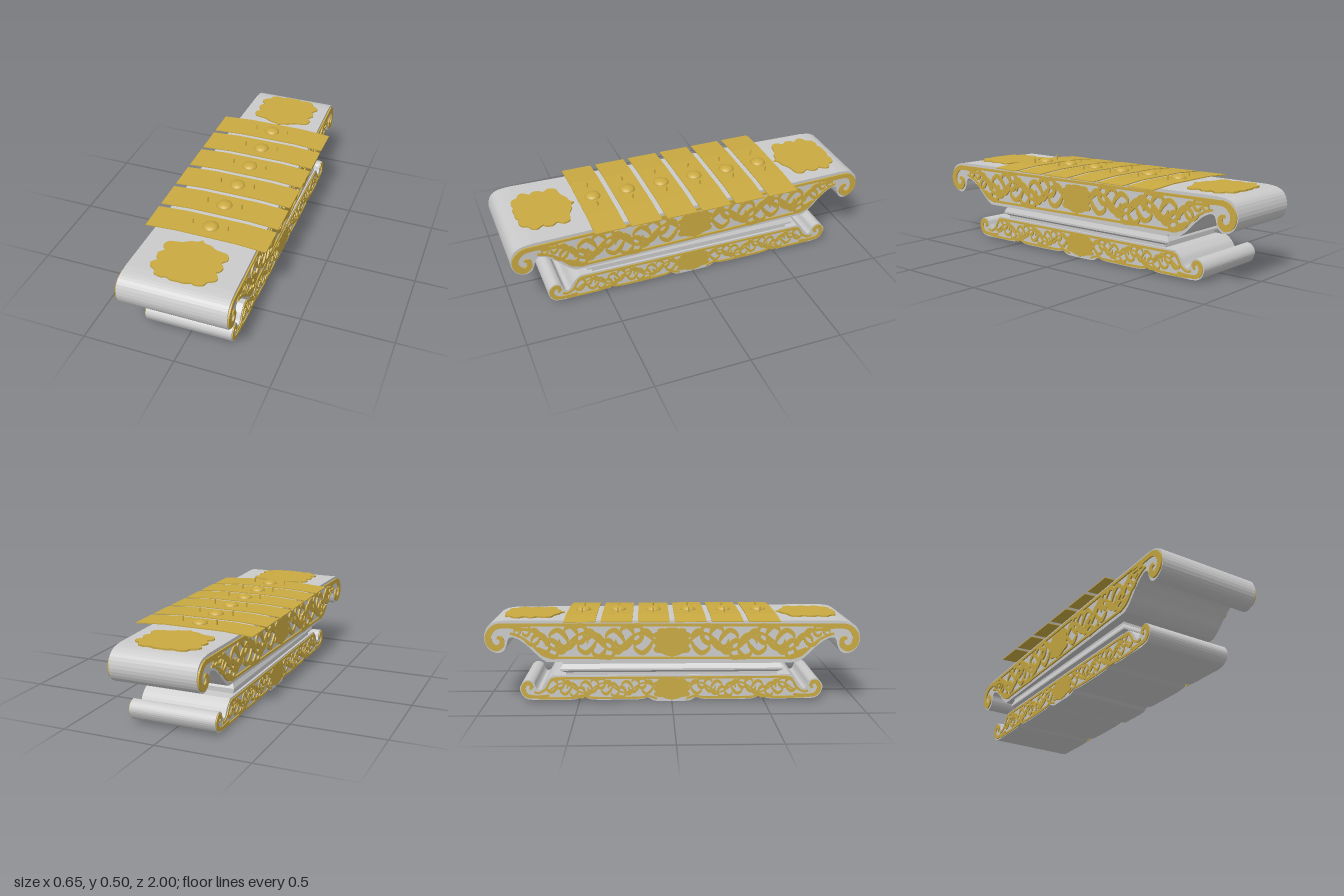
import * as THREE from 'three';

const gold = new THREE.MeshStandardMaterial({ color: 0xc9a941 });
gold.name = 'gold';
const grey = new THREE.MeshStandardMaterial({ color: 0xcacaca });
grey.name = 'light grey';

const V = (a) => a.map(([x, y]) => new THREE.Vector2(x, y));
const smooth = (pts, n) => new THREE.SplineCurve(V(pts)).getPoints(n);
const bodyHalf = (z) => 0.2575 + 0.0275 * z; // resonator narrows to the back
const baseHalf = () => 0.235;

function add(parent, name, geo, mat) {
  const m = new THREE.Mesh(geo, mat);
  m.name = name;
  parent.add(m);
  return m;
}

// mirror a half outline (bottom centre to top centre) into a full shape
function mirrored(half) {
  const other = half.filter((p) => Math.abs(p.x) > 1e-6).map((p) => new THREE.Vector2(-p.x, p.y)).reverse();
  return new THREE.Shape([...half, ...other]);
}

// side profile extruded across the width, following the width rule
function block(shape, halfW) {
  const g = new THREE.ExtrudeGeometry(shape, { depth: 1, bevelEnabled: false });
  const p = g.attributes.position;
  for (let i = 0; i < p.count; i++) {
    const z = -p.getX(i);
    p.setXYZ(i, (p.getZ(i) * 2 - 1) * halfW(z), p.getY(i), z);
  }
  g.computeVertexNormals();
  return g;
}

// thin ornament laid on the left (+1) or right (-1) face
function onSide(shapes, side, halfW, depth) {
  const g = new THREE.ExtrudeGeometry(shapes, { depth, bevelEnabled: false });
  const p = g.attributes.position;
  for (let i = 0; i < p.count; i++) {
    const z = -side * p.getX(i);
    p.setXYZ(i, side * (halfW(z) + p.getZ(i)), p.getY(i), z);
  }
  g.computeVertexNormals();
  return g;
}

// flat stroke along a spline with varying width
function ribbon(pts, width, m = 1, n = 24) {
  const c = new THREE.SplineCurve(V(pts));
  const a = [], b = [];
  for (let i = 0; i <= n; i++) {
    const t = i / n, p = c.getPoint(t), d = c.getTangent(t), w = width(t) / 2;
    a.push(new THREE.Vector2(m * (p.x - d.y * w), p.y + d.x * w));
    b.push(new THREE.Vector2(m * (p.x + d.y * w), p.y - d.x * w));
  }
  return new THREE.Shape([...a, ...b.reverse()]);
}
const flat = (w) => () => w;
const leafW = (w) => (t) => 0.002 + w * Math.pow(Math.sin(Math.PI * t), 0.8) * (1.15 - 0.5 * t);

// waving stem with curled leaves between a lower and an upper border
function vine(z0, z1, low, top, period, m) {
  const out = [], stem = [];
  const at = (z) => {
    const h = top - low(z);
    return [z, (top + low(z)) / 2 + h * 0.27 * Math.sin((2 * Math.PI * (z - z0)) / period)];
  };
  for (let i = 0; i <= 24; i++) stem.push(at(z0 + ((z1 - z0) * i) / 24));
  const h0 = top - low(z0);
  out.push(ribbon(stem, flat(h0 * 0.09), m, 60));
  let k = 0;
  for (let z = z0 + 0.01; z < z1 - 0.03; z += period / 6, k++) {
    const [x, y] = at(z), h = top - low(z);
    for (const s of [1, -1]) {
      const long = (k + (s > 0 ? 0 : 1)) % 2 ? 1 : 0.7;
      const leaf = [[0, 0], [0.12, 0.2], [0.34, 0.34], [0.56, 0.24], [0.6, 0.1]].map(([a, b]) => {
        const px = x + a * h * long;
        return [px, Math.min(top, Math.max(low(px), y + s * b * h * long * 1.25))];
      });
      out.push(ribbon(leaf, leafW(h * 0.16), m, 14));
    }
  }
  return out;
}

// lobed plaque outline, unit half-width, pointed at -1
const plaqueHalf = [[0, -1], [0.1, -0.88], [0.3, -0.84], [0.5, -0.72], [0.66, -0.68], [0.9, -0.62], [0.98, -0.4],
  [0.86, -0.22], [0.98, -0.05], [0.94, 0.16], [0.86, 0.22], [1, 0.42], [0.95, 0.58], [0.78, 0.68], [0.72, 0.84],
  [0.5, 0.9], [0.36, 0.86], [0.2, 0.93], [0, 0.92]];
const plaque = (cx, cy, w, h) => {
  const s = mirrored(smooth(plaqueHalf.map(([x, y]) => [x * w, y * h]), 60));
  return new THREE.Shape(s.getPoints().map((p) => new THREE.Vector2(p.x + cx, p.y + cy)));
};

export function createModel() {
  const root = new THREE.Group();
  root.name = 'barInstrument';

  // resonator body with rolled ends
  const body = [...V([[0, 0.22], [0.64, 0.22]]),
    ...smooth([[0.67, 0.222], [0.71, 0.25], [0.76, 0.3], [0.81, 0.34], [0.85, 0.356], [0.872, 0.345], [0.882, 0.31],
      [0.9, 0.28], [0.935, 0.27], [0.98, 0.295], [1, 0.35], [0.982, 0.41], [0.94, 0.438], [0.88, 0.447]], 44),
    ...V([[0, 0.447]])];
  add(root, 'resonatorBody', block(mirrored(body), bodyHalf), grey);

  // base with upturned rolled ends and a scalloped underside
  const base = [...smooth([[0, 0], [0.09, 0.002], [0.13, 0.02], [0.17, 0.011], [0.3, 0.009], [0.43, 0.011],
    [0.48, 0.027], [0.53, 0.011], [0.66, 0.011], [0.75, 0.011], [0.795, 0.025], [0.818, 0.07], [0.805, 0.105],
    [0.775, 0.122], [0.745, 0.11], [0.733, 0.083], [0.72, 0.068], [0.7, 0.075], [0.675, 0.115], [0.64, 0.145]], 76),
    ...V([[0, 0.145]])];
  add(root, 'base', block(mirrored(base), baseHalf), grey);

  // moulded neck: [half width, y, half length] rings
  const rings = [[0.222, 0.14, 0.57], [0.222, 0.16, 0.57], [0.237, 0.172, 0.6], [0.237, 0.182, 0.6],
    [0.226, 0.207, 0.585], [0.226, 0.222, 0.585]];
  const pos = [], idx = [];
  rings.forEach(([w, y, l], i) => {
    pos.push(-w, y, l, w, y, l, w, y, -l, -w, y, -l);
    for (let j = 0; i > 0 && j < 4; j++) {
      const a = (i - 1) * 4 + j, b = (i - 1) * 4 + ((j + 1) % 4);
      idx.push(a, b, b + 4, a, b + 4, a + 4);
    }
  });
  let neck = new THREE.BufferGeometry();
  neck.setAttribute('position', new THREE.Float32BufferAttribute(pos, 3));
  neck.setIndex(idx);
  neck = neck.toNonIndexed();
  neck.computeVertexNormals();
  add(root, 'neckMoulding', neck, grey);

  // carved foliage on both flanks
  const bodyLow = (z) => (z < 0.64 ? 0.25 : Math.min(0.4, 0.25 + (z - 0.64) * 0.62));
  const bodyArt = [ribbon([[-0.92, 0.424], [0, 0.424], [0.92, 0.424]], flat(0.014)),
    ribbon([[-0.65, 0.245], [0, 0.245], [0.65, 0.245]], flat(0.012)), plaque(0, 0.33, 0.1, 0.085)];
  const baseArt = [ribbon([[-0.63, 0.131], [0, 0.131], [0.63, 0.131]], flat(0.012)), plaque(0, 0.068, 0.1, 0.064)];
  for (const m of [1, -1]) {
    bodyArt.push(
      ribbon([[0.64, 0.245], [0.69, 0.262], [0.74, 0.31], [0.8, 0.355], [0.86, 0.378]], flat(0.012), m),
      ribbon([[0.8, 0.405], [0.87, 0.416], [0.935, 0.412], [0.975, 0.37], [0.97, 0.32], [0.935, 0.297], [0.906, 0.317],
        [0.908, 0.348], [0.93, 0.355]], (t) => 0.016 + 0.018 * Math.sin(Math.PI * t), m, 40),
      ...vine(0.09, 0.84, bodyLow, 0.418, 0.3, m));
    baseArt.push(
      ribbon([[0.08, 0.014], [0.13, 0.03], [0.18, 0.021], [0.42, 0.021], [0.48, 0.036], [0.54, 0.021], [0.72, 0.021]],
        flat(0.012), m, 40),
      ribbon([[0.62, 0.131], [0.655, 0.11], [0.68, 0.07], [0.715, 0.05], [0.74, 0.055]], flat(0.012), m),
      ribbon([[0.66, 0.035], [0.73, 0.028], [0.78, 0.036], [0.8, 0.07], [0.787, 0.1], [0.765, 0.102], [0.754, 0.083],
        [0.765, 0.07]], (t) => 0.012 + 0.012 * Math.sin(Math.PI * t), m, 32),
      ...vine(0.09, 0.67, (z) => 0.027, 0.127, 0.22, m));
  }
  for (const [side, word] of [[1, 'left'], [-1, 'right']]) {
    add(root, word + 'BodyFoliage', onSide(bodyArt, side, bodyHalf, 0.008), gold);
    add(root, word + 'BaseFoliage', onSide(baseArt, side, baseHalf, 0.005), gold);
  }

  // plaques on top of each end, points towards the middle
  for (const [s, word] of [[1, 'front'], [-1, 'back']]) {
    const g = new THREE.ExtrudeGeometry(plaque(0, 0, 0.175, 0.168), { depth: 0.009, bevelEnabled: false });
    g.rotateX(-Math.PI / 2);
    if (s > 0) g.rotateY(Math.PI);
    const plate = add(root, word + 'Plaque', g, gold);
    plate.position.set(0, 0.446, s * 0.755);
  }

  // six bars, each with a boss and two pins
  const barShape = new THREE.Shape(V([[-0.325, 0.449], [-0.16, 0.46], [0.16, 0.46], [0.325, 0.449],
    [0.325, 0.454], [0.16, 0.465], [-0.16, 0.465], [-0.325, 0.454]]));
  const barGeo = new THREE.ExtrudeGeometry(barShape, { depth: 0.166, bevelEnabled: false }).translate(0, 0, -0.083);
  const bossGeo = new THREE.SphereGeometry(0.042, 24, 8, 0, Math.PI * 2, 0, Math.PI / 2).scale(1, 0.52, 1);
  const pinGeo = new THREE.CapsuleGeometry(0.004, 0.042, 4, 10);
  for (let i = 0; i < 6; i++) {
    const key = new THREE.Group();
    key.name = 'bar' + (i + 1);
    key.position.z = (i - 2.5) * 0.194;
    add(key, 'plate', barGeo, gold);
    add(key, 'boss', bossGeo, gold).position.y = 0.464;
    for (const x of [-0.095, 0.095]) add(key, 'pin', pinGeo, gold).position.set(x, 0.47, 0);
    root.add(key);
  }
  return root;
}
